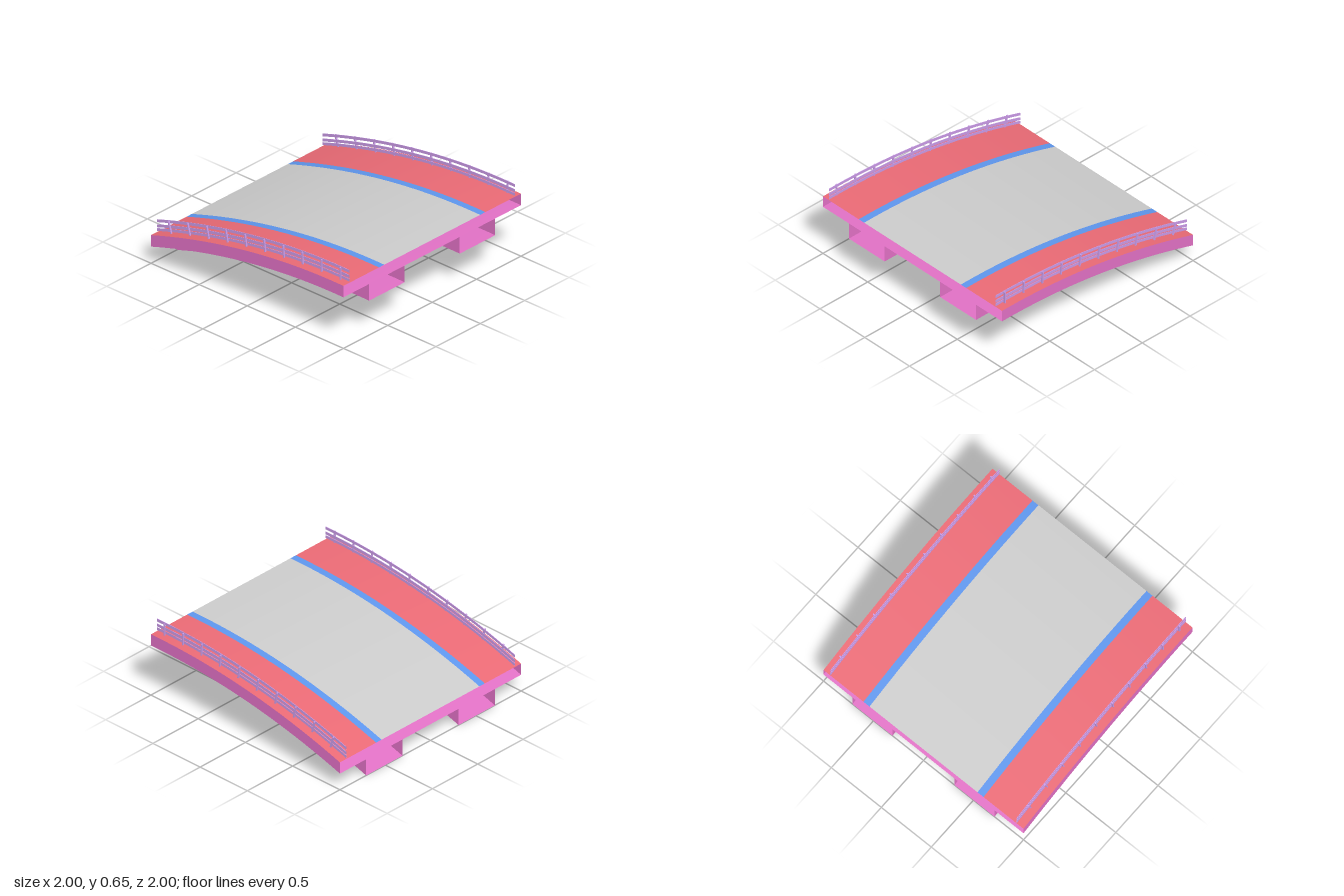
import * as THREE from 'three';

const SEGMENTS = 24;
// Height of the arched underside along x, and its slope
const arch = x => 0.3 * (1 - ((x - 0.9) / 1.9) ** 2);
const slope = x => -0.6 * (x - 0.9) / (1.9 * 1.9);
const TOP = 0.245, PLATE = 0.145;

const paint = color => new THREE.MeshStandardMaterial({ color, side: THREE.DoubleSide });

// Sweeps a section of [z, height] points along the arch: smooth lengthwise, creased at each point
function sweep(name, section, material) {
  const pos = [], index = [];
  for (let s = 0; s < section.length - 1; s++) {
    const base = pos.length / 3;
    for (let i = 0; i <= SEGMENTS; i++) {
      const x = -1 + 2 * i / SEGMENTS;
      for (const [z, h] of [section[s], section[s + 1]]) pos.push(x, arch(x) + h, z);
      if (i < SEGMENTS) {
        const a = base + 2 * i;
        index.push(a, a + 1, a + 2, a + 1, a + 3, a + 2);
      }
    }
  }
  const geometry = new THREE.BufferGeometry();
  geometry.setAttribute('position', new THREE.Float32BufferAttribute(pos, 3));
  geometry.setIndex(index);
  geometry.computeVertexNormals();
  const mesh = new THREE.Mesh(geometry, material);
  mesh.name = name;
  return mesh;
}

export function createModel() {
  const group = new THREE.Group();
  group.name = 'bridgeSpan';
  const pink = paint(0xe070c4), red = paint(0xea6a75), blue = paint(0x5e96ed);
  const lilac = paint(0xc99ae6), grey = paint(0xcccccc);

  // Road surface and the hollow, open-ended deck shell under it
  group.add(sweep('roadway', [[-0.54, TOP], [0.54, TOP]], grey));
  group.add(sweep('deckShell', [[1, TOP], [1, PLATE], [-1, PLATE], [-1, TOP]], pink));

  for (const side of [1, -1]) {
    const label = side > 0 ? 'front' : 'back';
    const strip = (a, b) => [[side * a, TOP], [side * b, TOP]].sort((p, q) => p[0] - q[0]);
    group.add(sweep(label + 'Curb', strip(0.54, 0.6), blue));
    group.add(sweep(label + 'Sidewalk', strip(0.6, 1), red));

    // Box girder, open at both ends
    const zs = [side * 0.71, side * 0.31].sort((a, b) => b - a);
    group.add(sweep(label + 'Girder',
      [[zs[0], PLATE], [zs[0], 0], [zs[1], 0], [zs[1], PLATE]], pink));

    // Railing: three thin rails following the arch
    const railing = new THREE.Group();
    railing.name = label + 'Railing';
    const zc = side * 0.931, t = 0.002;
    for (const [lo, hi] of [[0.01, 0.033], [0.042, 0.066], [0.086, 0.11]]) {
      const a = TOP + lo, b = TOP + hi;
      railing.add(sweep('rail',
        [[zc - t, b], [zc + t, b], [zc + t, a], [zc - t, a], [zc - t, b]], lilac));
    }
    // Posts stand square to the arch on the outer side of the rails
    const postGeometry = new THREE.BoxGeometry(0.011, 0.106, 0.014).translate(0, 0.05, 0);
    for (let i = 0; i < 10; i++) {
      const x = -0.845 + 0.1955 * i;
      const post = new THREE.Mesh(postGeometry, lilac);
      post.name = 'railPost';
      post.position.set(x, arch(x) + TOP, side * 0.94);
      post.rotation.z = Math.atan(slope(x));
      railing.add(post);
    }
    group.add(railing);
  }
  return group;
}
